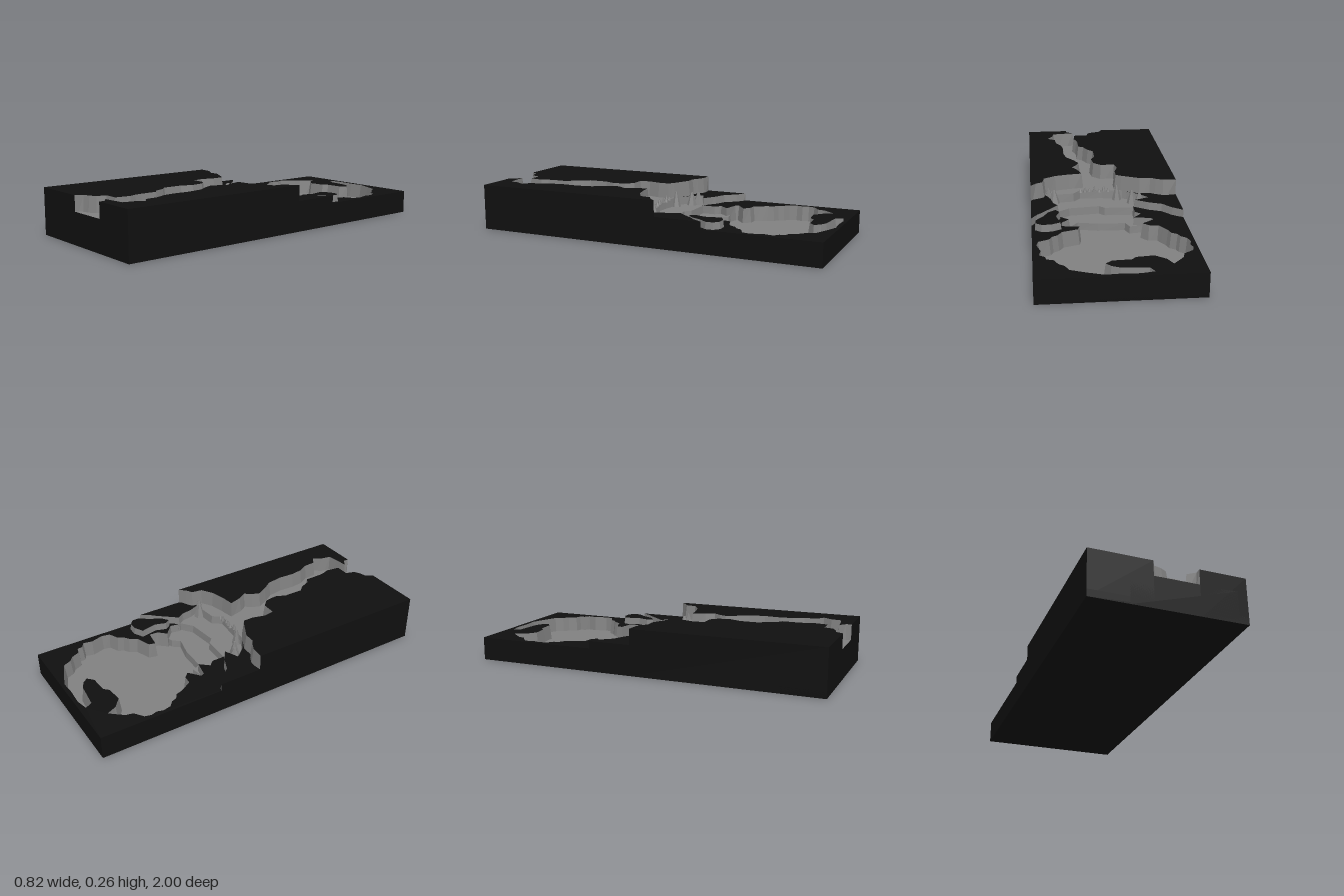
import * as THREE from 'three';

const HALF_X = 41.2, HALF_Z = 100; // block half size, in hundredths

const earth = new THREE.MeshStandardMaterial({ color: 0x101010 });
earth.name = 'black ground';
const stone = new THREE.MeshStandardMaterial({ color: 0x808080 });
stone.name = 'grey stone';

// flat list of x, z hundredths -> points
function path(...n) {
  const pts = [];
  for (let i = 0; i < n.length; i += 2) pts.push(new THREE.Vector2(n[i], n[i + 1]));
  return pts;
}

// A terrace: flat cap, steep stone banks inside the block, dark faces on the block's border
function terrace(name, pts, height, depth, capMaterial) {
  if (THREE.ShapeUtils.isClockWise(pts)) pts = pts.slice().reverse();
  const onX = p => Math.abs(p.x) > 41, onZ = p => Math.abs(p.y) > 99.5;
  const n = pts.length;
  const normal = (a, b) => new THREE.Vector2(b.y - a.y, a.x - b.x).normalize();
  // foot of each bank flares outward a little
  const foot = pts.map((p, i) => {
    if (onX(p) || onZ(p)) return p.clone();
    const out = normal(pts[(i + n - 1) % n], p).add(normal(p, pts[(i + 1) % n]));
    return p.clone().addScaledVector(out.normalize(), depth * 13);
  });
  const cap = [], bank = [], border = [];
  const put = (list, p, y) => list.push(p.x / 100, y, p.y / 100);
  for (const [a, b, c] of THREE.ShapeUtils.triangulateShape(pts, []))
    for (const k of [a, c, b]) put(cap, pts[k], height);
  for (let i = 0; i < n; i++) {
    const j = (i + 1) % n, a = pts[i], b = pts[j];
    const edge = (onX(a) && onX(b) && a.x * b.x > 0) || (onZ(a) && onZ(b) && a.y * b.y > 0);
    const list = edge ? border : bank;
    const low = edge ? 0 : height - depth;
    const fa = edge ? a : foot[i], fb = edge ? b : foot[j];
    put(list, a, height); put(list, b, height); put(list, fb, low);
    put(list, a, height); put(list, fb, low); put(list, fa, low);
  }
  const group = new THREE.Group();
  group.name = name;
  for (const [part, list, mat] of [['Top', cap, capMaterial], ['Bank', bank, stone], ['Border', border, earth]]) {
    if (!list.length) continue;
    const g = new THREE.BufferGeometry();
    g.setAttribute('position', new THREE.Float32BufferAttribute(list, 3));
    g.computeVertexNormals();
    const mesh = new THREE.Mesh(g, mat);
    mesh.name = name + part;
    group.add(mesh);
  }
  return group;
}

export function createModel() {
  const model = new THREE.Group();
  model.name = 'riverTerrain';

  // solid base plate
  const base = new THREE.Mesh(new THREE.BoxGeometry(HALF_X / 50, 0.04, 2), earth);
  base.name = 'base';
  base.position.y = 0.02;
  model.add(base);

  // high plateau on both sides of the narrow upper river
  const highWest = path(
    -HALF_X, 100, -8, 100, -6, 96, -2, 95, 1.5, 93, 3, 88, 11, 88, 12, 80, 10.5, 76, 10, 72, 10, 63,
    7, 61, 4.5, 55, 1.5, 52, 1.5, 41, 4, 35, 3, 28, -1, 24, -9, 24, -10, 18, -8, 11, -8, 5,
    -11, 3, -17, 0, -21, -2, -27, -2, -30, -4, -34, -6, -HALF_X, -6.5);
  const highEast = path(
    HALF_X, 100, 16, 100, 16, 97, 12, 94, 18, 93.5, 25, 92.5, 26, 87, 29, 82, 24.5, 79, 24, 72,
    21, 66, 20, 59, 20.5, 50, 19, 41, 15, 35, 12, 29, 13.5, 25, 16.5, 21, 13.5, 16, 11.5, 9,
    19, 8, 27, 6, 33.5, 2, 34.5, -4, 38, -6, HALF_X, -9.5);
  model.add(terrace('highPlateauWest', highWest, 0.26, 0.14, earth));
  model.add(terrace('highPlateauEast', highEast, 0.26, 0.14, earth));

  // middle plateau beside the falls
  model.add(terrace('middlePlateauWest', path(
    -HALF_X, -31, -36, -27, -31, -21, -24, -18, -17, -13.5, -25, -10, -20, -4, -14, 0, -14, 4,
    -HALF_X, 4), 0.172, 0.14, earth));
  model.add(terrace('middlePlateauEast', path(
    HALF_X, -36, 38, -31, 35, -28, 30, -22, 26.5, -18, 29, -14, 30, -8, 32, -3, 36, 4,
    HALF_X, 4), 0.172, 0.14, earth));
  model.add(terrace('raisedKnoll', path(
    26, -42, 31, -44.5, 36, -44.5, 39, -42, 39, -38, 35, -33, 32, -27, 28, -24, 26, -27,
    28, -33, 27, -38), 0.168, 0.06, earth));

  // low plateau wrapped round the lake
  const lakeWest = path(
    -HALF_X, -10, -26, -11, -16, -13, -16, -21, -19, -24, -14.5, -29, -23.5, -31, -24.5, -33,
    -18, -38, -21, -41, -26, -41.5, -28, -45, -30, -48.5, -31, -52, -34, -54, -35, -57, -38, -59.5,
    -39, -64, -38, -67.5, -39, -71, -38, -74.5, -33, -78, -32, -82, -30, -84.5, -26, -89,
    -23.5, -83.5, -18, -79, -9, -80, -6.5, -82.5, 3, -83, 6.5, -86, 4, -89, 0, -91, -14, -92.5);
  const lakeEast = path(
    -16, -96.5, -9, -98, 0, -97.5, 8, -98, 16, -95, 24, -91.5, 26, -87, 29, -84.5, 31, -80,
    34.5, -79, 35, -76, 38, -74, 37, -69, 39, -62, 38, -57.5, 32.5, -55, 31, -52, 28, -50,
    25.5, -46, 17, -43, 16, -39.5, 25.5, -38, 25, -33, 21, -29, 27, -23.5, 26, -19, 30, -15.5,
    HALF_X, -15, HALF_X, -100, -HALF_X, -100);
  model.add(terrace('lowPlateau', [...lakeWest, ...lakeEast], 0.13, 0.1, earth));

  // water levels, stepping down from the upper river to the lake
  model.add(terrace('lakeFloor', path(-40, -99, 40, -99, 40, 5, -40, 5), 0.045, 0.01, stone));
  model.add(terrace('lowerStep', path(
    -30, -29, -18, -30, -12, -31, -10, -26, 5, -25.5, 16, -23, 19, -27, 26, -29, 34, -20,
    34, 5, -30, 5), 0.085, 0.045, stone));
  model.add(terrace('upperStep', path(
    -28, -12, -16, -13.5, 0, -13, 3, -10, 20, -12, 28, -18, 34, -14, 34, 8, -28, 5),
    0.128, 0.05, stone));
  model.add(terrace('upperRiverFloor', path(
    -20, 2, -10, 1.5, 0, 3, 13, 4, 17, -1, 27, -2, 34, -1, 36, 10, 36, 100, -20, 100),
    0.175, 0.06, stone));

  // pointed rocks around the falls: x, z, ground height, radius, rise
  const rocks = [
    [-0.2, -0.09, 0.125, 0.035, 0.07], [-0.16, -0.065, 0.125, 0.03, 0.08],
    [-0.08, 0.0, 0.125, 0.028, 0.09], [0.28, -0.03, 0.125, 0.035, 0.08],
    [0.31, -0.015, 0.17, 0.02, 0.045]];
  for (let i = 0; i < 7; i++)
    rocks.push([-0.035 + i * 0.027, 0.025 + 0.006 * Math.sin(i * 2), 0.17, 0.012, 0.02 + 0.012 * (i % 2)]);
  rocks.forEach(([x, z, y, r, h], i) => {
    const g = new THREE.CylinderGeometry(r * 0.2, r, h, 6).toNonIndexed();
    g.computeVertexNormals();
    const rock = new THREE.Mesh(g, stone);
    rock.name = 'rock' + (i + 1);
    rock.position.set(x, y + h / 2, z);
    rock.rotation.y = i * 1.3;
    model.add(rock);
  });
  return model;
}
